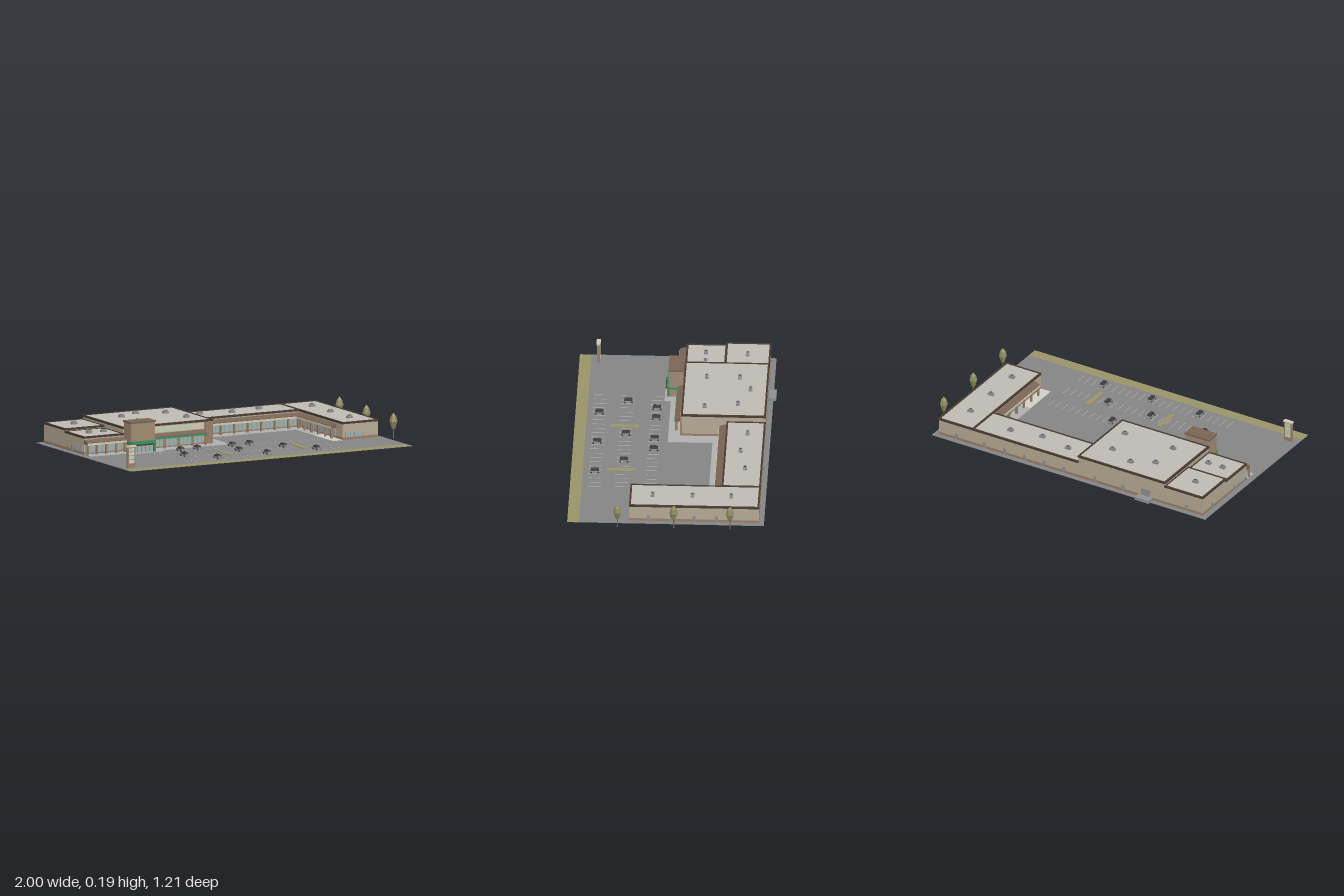
import * as THREE from 'three';

const mats = {};
const C = {
  asphalt: 0x858585, walk: 0xb0b0ae, pale: 0xd2d0c4, grass: 0x9a9468, wall: 0xb6aa94, brown: 0x9a7f69,
  canopy: 0x7a6555, trim: 0x4a3c34, roof: 0xbfbcb4, green: 0x3f8f5c, mint: 0xb9d3b4, glass: 0x9fb0ae,
  grey: 0x8f9092, dark: 0x3d3d3f, cream: 0xd3cbb2, leaf: 0x8f8b62, line: 0xb4b4b4, tower: 0xa08b75,
};
const mat = (c) => (mats[c] ??= new THREE.MeshStandardMaterial({ color: C[c], flatShading: true }));

// Box given by its extents on each axis
function box(parent, name, c, x0, x1, y0, y1, z0, z1) {
  const m = new THREE.Mesh(new THREE.BoxGeometry(x1 - x0, y1 - y0, z1 - z0), mat(c));
  m.position.set((x0 + x1) / 2, (y0 + y1) / 2, (z0 + z1) / 2);
  m.name = name;
  parent.add(m);
  return m;
}

function group(parent, name) {
  const g = new THREE.Group();
  g.name = name;
  parent.add(g);
  return g;
}

// Flat-roofed block: brown plinth, wall, recessed roof, dark parapet coping
function block(parent, name, x0, x1, z0, z1, h) {
  const g = group(parent, name), t = 0.008, e = 0.003;
  box(g, 'wall', 'wall', x0, x1, 0.004, h - 0.006, z0, z1);
  box(g, 'plinth', 'brown', x0 - e / 2, x1 + e / 2, 0.004, 0.02, z0 - e / 2, z1 + e / 2);
  box(g, 'roof', 'roof', x0 + t, x1 - t, h - 0.007, h - 0.003, z0 + t, z1 - t);
  const a = x0 - e, b = x1 + e, c = z0 - e, d = z1 + e, y = h - 0.012;
  box(g, 'parapetBack', 'trim', a, b, y, h, c, z0 + t);
  box(g, 'parapetFront', 'trim', a, b, y, h, z1 - t, d);
  box(g, 'parapetLeft', 'trim', x1 - t, b, y, h, c, d);
  box(g, 'parapetRight', 'trim', a, x0 + t, y, h, c, d);
  return g;
}

// Covered walkway along local x, wall at z = 0, opening towards +z
function arcade(parent, name, len, depth, bays, fascia) {
  const g = group(parent, name);
  const s = new THREE.Shape([[0, 0.068], [depth, 0.068], [depth, 0.082], [0, 0.095]].map((p) => new THREE.Vector2(...p)));
  const geo = new THREE.ExtrudeGeometry(s, { depth: len, bevelEnabled: false });
  geo.rotateY(-Math.PI / 2).translate(len, 0, 0);
  const roof = new THREE.Mesh(geo, mat('canopy'));
  roof.name = 'canopyRoof';
  g.add(roof);
  box(g, 'fascia', fascia, 0, len, 0.066, 0.078, depth - 0.001, depth + 0.003);
  box(g, 'shopGlass', 'glass', 0.01, len - 0.01, 0.014, 0.062, 0, 0.002);
  const step = len / bays;
  for (let i = 0; i <= bays; i++) {
    const x = Math.min(Math.max(i * step, 0.006), len - 0.006);
    box(g, 'column', 'brown', x - 0.006, x + 0.006, 0.004, 0.068, depth - 0.014, depth - 0.002);
  }
  for (let i = 0; i < bays * 3; i++) {
    const x = ((i + 0.5) * step) / 3;
    box(g, 'mullion', 'grey', x - 0.001, x + 0.001, 0.008, 0.062, 0, 0.003);
  }
  return g;
}

function rooftopUnit(parent, x, y, z) {
  const g = group(parent, 'rooftopUnit');
  box(g, 'unitBase', 'grey', x - 0.018, x + 0.018, y, y + 0.013, z - 0.011, z + 0.011);
  box(g, 'unitHood', 'grey', x - 0.012, x + 0.012, y + 0.013, y + 0.02, z - 0.009, z + 0.009);
  box(g, 'unitFan', 'dark', x - 0.006, x + 0.006, y + 0.02, y + 0.021, z - 0.005, z + 0.005);
}

function car(parent, x, z) {
  const g = group(parent, 'car');
  box(g, 'body', 'grey', -0.015, 0.015, 0.009, 0.02, -0.036, 0.036);
  const geo = new THREE.CylinderGeometry(0.0145, 0.019, 0.011, 4, 1).rotateY(Math.PI / 4).scale(1, 1, 1.9);
  const cabin = new THREE.Mesh(geo, mat('dark'));
  cabin.name = 'cabin';
  cabin.position.set(0, 0.0255, 0);
  g.add(cabin);
  for (const sx of [-1, 1]) for (const sz of [-1, 1]) {
    const w = new THREE.Mesh(new THREE.CylinderGeometry(0.006, 0.006, 0.005, 8).rotateZ(Math.PI / 2), mat('dark'));
    w.name = 'wheel';
    w.position.set(sx * 0.0135, 0.01, sz * 0.022);
    g.add(w);
  }
  g.position.set(x, 0, z);
}

function tree(parent, x, z) {
  const g = group(parent, 'tree');
  const trunk = new THREE.Mesh(new THREE.CylinderGeometry(0.003, 0.004, 0.06, 6), mat('canopy'));
  trunk.name = 'trunk';
  trunk.position.y = 0.03;
  const pts = [[0, 0.05], [0.012, 0.062], [0.025, 0.105], [0.017, 0.135], [0, 0.157]];
  const crown = new THREE.Mesh(new THREE.LatheGeometry(pts.map((p) => new THREE.Vector2(...p)), 7), mat('leaf'));
  crown.name = 'crown';
  g.add(trunk, crown);
  g.position.set(x, 0, z);
}

export function createModel() {
  const root = new THREE.Group();
  root.name = 'shoppingPlaza';

  // Site
  const site = group(root, 'site');
  box(site, 'parkingLot', 'asphalt', -1, 0.935, 0, 0.003, -0.588, 0.53);
  box(site, 'grassStrip', 'grass', -1, 0.935, 0, 0.003, 0.53, 0.6);
  box(site, 'frontWalk', 'walk', -0.963, -0.005, 0.002, 0.006, -0.06, 0.03);
  box(site, 'entranceWalk', 'walk', -0.695, -0.475, 0.002, 0.006, 0.03, 0.068);
  box(site, 'cornerWalk', 'walk', -0.085, -0.005, 0.002, 0.006, -0.33, -0.06);
  box(site, 'backWalk', 'walk', -0.005, 0.665, 0.002, 0.006, -0.33, -0.24);
  box(site, 'sideWalk', 'walk', 0.59, 0.665, 0.002, 0.006, -0.24, -0.01);
  box(site, 'patio', 'pale', 0.593, 0.665, 0.002, 0.006, -0.01, 0.225);
  for (const [z0, z1] of [[0.08, 0.15], [0.25, 0.33], [0.415, 0.495]])
    for (let i = 0; i < 23; i++) {
      const x = -0.535 + i * 0.048;
      box(site, 'stallLine', 'line', x - 0.0018, x + 0.0018, 0.003, 0.0036, z0, z1);
    }
  for (const x of [-0.18, 0.325]) box(site, 'plantedIsland', 'grass', x - 0.016, x + 0.016, 0.003, 0.007, 0.21, 0.38);

  // Buildings
  block(root, 'leftRearStore', -0.963, -0.695, -0.556, -0.289, 0.13);
  block(root, 'leftFrontStore', -0.963, -0.695, -0.289, -0.05, 0.115);
  const anchor = block(root, 'anchorStore', -0.695, -0.083, -0.556, -0.05, 0.153);
  block(root, 'backShops', -0.08, 0.663, -0.556, -0.325, 0.113);
  const wing = block(root, 'wingShops', 0.663, 0.905, -0.556, 0.225, 0.113);

  // Covered walks
  arcade(root, 'leftArcade', 0.268, 0.042, 4, 'cream').position.set(-0.963, 0, -0.05);
  arcade(root, 'anchorArcade', 0.385, 0.042, 4, 'green').position.set(-0.525, 0, -0.05);
  arcade(root, 'backArcade', 0.743, 0.046, 8, 'cream').position.set(-0.08, 0, -0.325);
  const side = arcade(root, 'wingArcade', 0.43, 0.04, 5, 'cream');
  side.rotation.y = -Math.PI / 2;
  side.position.set(0.663, 0, -0.28);

  // Anchor front details
  box(anchor, 'cornerPier', 'brown', -0.135, -0.083, 0.004, 0.142, -0.052, -0.04);
  box(anchor, 'signBand', 'cream', -0.52, -0.14, 0.1, 0.135, -0.051, -0.047);
  box(anchor, 'signPanel', 'mint', -0.46, -0.22, 0.108, 0.126, -0.049, -0.045);

  // Entrance tower with green portal
  const tower = group(root, 'entranceTower');
  box(tower, 'towerBody', 'tower', -0.692, -0.528, 0.004, 0.186, -0.045, 0.042);
  box(tower, 'towerCap', 'canopy', -0.697, -0.523, 0.184, 0.195, -0.048, 0.046);
  for (const x of [-0.692, -0.542]) box(tower, 'portalPost', 'green', x, x + 0.014, 0.004, 0.07, 0.04, 0.055);
  box(tower, 'portalBeam', 'green', -0.692, -0.528, 0.056, 0.076, 0.04, 0.055);
  box(tower, 'entranceCanopy', 'dark', -0.67, -0.55, 0.05, 0.057, 0.04, 0.064);
  box(tower, 'entranceGlass', 'glass', -0.678, -0.542, 0.006, 0.056, 0.04, 0.044);
  for (let x = -0.65; x < -0.55; x += 0.027) box(tower, 'doorFrame', 'green', x - 0.0015, x + 0.0015, 0.006, 0.056, 0.042, 0.046);
  for (const s of [-0.694, -0.532]) box(tower, 'sideTrim', 'green', s, s + 0.006, 0.056, 0.07, -0.008, 0.042);

  // Wing windows, service doors and loading dock
  box(wing, 'frontWindow', 'glass', 0.685, 0.8, 0.02, 0.052, 0.224, 0.228);
  for (let x = 0.685; x < 0.81; x += 0.0287) box(wing, 'windowMullion', 'grey', x - 0.001, x + 0.001, 0.02, 0.052, 0.224, 0.229);
  for (const z of [0.11, -0.03, -0.165, -0.3]) box(wing, 'sideDoor', 'grey', 0.9, 0.908, 0.004, 0.044, z - 0.009, z + 0.009);
  box(wing, 'sideWindow', 'glass', 0.9, 0.908, 0.02, 0.042, -0.482, -0.458);
  const service = group(root, 'serviceSide');
  for (const x of [-0.85, -0.4, -0.2, 0.02, 0.16, 0.3, 0.44, 0.58, 0.78])
    box(service, 'rearDoor', 'grey', x - 0.009, x + 0.009, 0.004, 0.044, -0.559, -0.55);
  box(service, 'dockDoor', 'grey', -0.59, -0.53, 0.02, 0.065, -0.559, -0.55);
  box(service, 'loadingDock', 'grey', -0.61, -0.51, 0, 0.02, -0.605, -0.556);
  for (const z of [-0.45, -0.2]) box(service, 'endDoor', 'grey', -0.966, -0.96, 0.004, 0.044, z - 0.009, z + 0.009);
  box(service, 'endWindow', 'glass', -0.966, -0.96, 0.02, 0.055, -0.13, -0.07);

  // Rooftop equipment
  const units = [
    [-0.83, 0.126, -0.42], [-0.865, 0.111, -0.167], [-0.765, 0.111, -0.167],
    [-0.39, 0.149, -0.455], [-0.525, 0.149, -0.385], [-0.22, 0.149, -0.385], [-0.525, 0.149, -0.185], [-0.185, 0.149, -0.185],
    [0.052, 0.109, -0.455], [0.255, 0.109, -0.42], [0.46, 0.109, -0.455],
    [0.785, 0.109, -0.385], [0.785, 0.109, -0.15], [0.785, 0.109, 0.09],
  ];
  units.forEach((u) => rooftopUnit(root, ...u));

  // Roadside pylon with blank panels
  const pylon = group(root, 'roadsidePylon');
  box(pylon, 'pylonBody', 'brown', -0.96, -0.905, 0.003, 0.128, 0.475, 0.492);
  box(pylon, 'pylonCap', 'cream', -0.964, -0.901, 0.128, 0.137, 0.471, 0.496);
  for (let i = 0; i < 4; i++)
    box(pylon, 'pylonPanel', i % 2 ? 'mint' : 'pale', -0.951, -0.914, 0.03 + i * 0.024, 0.05 + i * 0.024, 0.473, 0.494);

  // Cars and trees
  const cars = [[-0.385, 0.11], [-0.27, 0.11], [-0.03, 0.11], [0.088, 0.11], [-0.455, 0.285], [-0.08, 0.285],
    [0.225, 0.285], [-0.32, 0.455], [0.02, 0.455], [0.36, 0.455]];
  cars.forEach((p) => car(root, ...p));
  for (const z of [-0.385, -0.045, 0.295]) tree(root, 0.975, z);
  return root;
}
